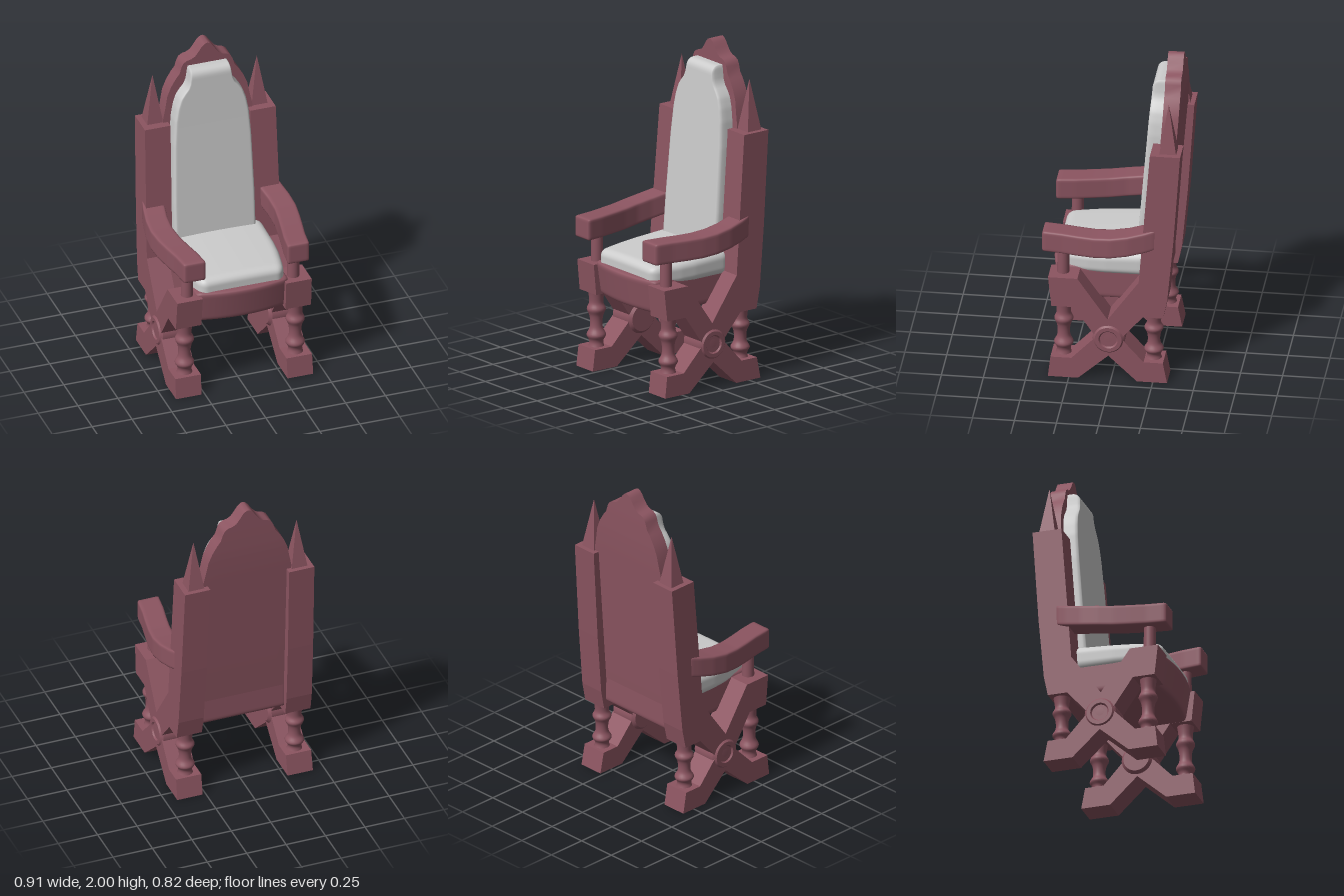
import * as THREE from 'three';
import { mergeVertices, toCreasedNormals } from 'three/addons/utils/BufferGeometryUtils.js';

const wood = new THREE.MeshStandardMaterial({ color: 0x8c5561 });
const fabric = new THREE.MeshStandardMaterial({ color: 0xcccccc });

// linear interpolation in a list of [key, value] pairs, keys rising
function lerpTable(table, k) {
  for (let i = 1; i < table.length; i++) {
    const [a, va] = table[i - 1], [b, vb] = table[i];
    if (k <= b || i === table.length - 1) {
      return va + (vb - va) * THREE.MathUtils.clamp((k - a) / (b - a), 0, 1);
    }
  }
}

// moves every vertex of a geometry by a rule
function warp(geometry, rule) {
  const p = geometry.attributes.position, v = new THREE.Vector3();
  for (let i = 0; i < p.count; i++) {
    rule(v.fromBufferAttribute(p, i));
    p.setXYZ(i, v.x, v.y, v.z);
  }
  return geometry;
}

function smooth(geometry) {
  geometry.deleteAttribute('uv');
  geometry.deleteAttribute('normal');
  const merged = mergeVertices(geometry, 1e-5);
  merged.computeVertexNormals();
  return merged;
}

const creased = (geometry) => toCreasedNormals(smooth(geometry), 0.6);

// evenly divided box with rounded edges, so that it can be bent afterwards
function pillow(w, h, d, r, nx, ny, nz) {
  const half = new THREE.Vector3(w / 2 - r, h / 2 - r, d / 2 - r);
  const low = half.clone().negate(), inner = new THREE.Vector3();
  return warp(new THREE.BoxGeometry(w, h, d, nx, ny, nz), (v) => {
    inner.copy(v).clamp(low, half);
    v.sub(inner).normalize().multiplyScalar(r).add(inner);
  });
}

export function createModel() {
  const chair = new THREE.Group();
  chair.name = 'chair';
  const add = (name, geometry, material = wood, x = 0, y = 0, z = 0) => {
    const mesh = new THREE.Mesh(geometry, material);
    mesh.name = name;
    mesh.position.set(x, y, z);
    chair.add(mesh);
    return mesh;
  };

  // side frame outline (z, y): feet, crossed braces, front block and back post
  const frame = new THREE.Shape([
    [0.375, 0], [0.195, 0], [0.015, 0.16], [-0.155, 0], [-0.335, 0], [-0.31, 0.13],
    [-0.195, 0.13], [-0.06, 0.28], [-0.19, 0.43], [-0.31, 0.43], [-0.335, 0.55],
    [-0.37, 0.93], [-0.41, 1.51], [-0.23, 1.51], [-0.165, 0.66], [0.02, 0.4], [0.2, 0.66],
    [0.375, 0.66], [0.355, 0.47], [0.22, 0.47], [0.09, 0.28], [0.235, 0.13], [0.36, 0.13],
  ].map(([z, y]) => new THREE.Vector2(z, y)));

  // turned leg profile (radius, height from 0 to 1)
  const legPoints = new THREE.SplineCurve([
    [0.05, 0], [0.042, 0.08], [0.045, 0.14], [0.058, 0.22], [0.04, 0.33], [0.037, 0.45],
    [0.043, 0.56], [0.057, 0.66], [0.043, 0.76], [0.045, 0.88], [0.052, 1],
  ].map(([r, y]) => new THREE.Vector2(r, y))).getPoints(40);
  const leg = (height) => new THREE.LatheGeometry(
    legPoints.map((p) => new THREE.Vector2(p.x, p.y * height)), 24);

  // round boss with a dished face
  const hubPoints = [
    [0, -0.093], [0.08, -0.093], [0.097, -0.075], [0.097, 0.075], [0.08, 0.093],
    [0.057, 0.093], [0.048, 0.082], [0, 0.085],
  ].map(([r, y]) => new THREE.Vector2(r, y));

  // armrest centre line: sideways bow and height, by z
  const armX = [[-0.27, 0.347], [-0.2, 0.365], [-0.1, 0.383], [0, 0.388], [0.1, 0.376],
    [0.2, 0.358], [0.3, 0.338], [0.415, 0.324]];
  const armY = [[-0.27, 0.95], [-0.2, 0.93], [-0.1, 0.908], [0, 0.892], [0.1, 0.882],
    [0.2, 0.88], [0.415, 0.88]];

  for (const s of [1, -1]) {
    const side = s > 0 ? 'left' : 'right';

    const frameGeo = new THREE.ExtrudeGeometry(frame, { depth: 0.16, bevelEnabled: false });
    frameGeo.rotateY(-Math.PI / 2);
    add(side + 'Frame', warp(frameGeo, (v) => {
      v.x += 0.08 + s * (0.35 - 0.0133 * v.y);
    }));

    const spire = new THREE.ConeGeometry(0.05 * Math.SQRT2, 0.31, 4, 1).rotateY(Math.PI / 4);
    add(side + 'Spire', toCreasedNormals(spire, 0.3), wood, s * 0.327, 1.665, -0.332);

    add(side + 'FrontLeg', leg(0.36), wood, s * 0.347, 0.12, 0.29);
    add(side + 'RearLeg', leg(0.32), wood, s * 0.347, 0.12, -0.247);

    const hub = new THREE.LatheGeometry(hubPoints, 32).rotateZ(-s * Math.PI / 2);
    add(side + 'Hub', toCreasedNormals(hub, 0.5), wood, s * 0.343, 0.27, 0.015);

    add(side + 'ArmSupport', new THREE.CylinderGeometry(0.035, 0.037, 0.2, 24), wood,
      s * 0.333, 0.74, 0.295);

    const arm = warp(pillow(0.136, 0.13, 0.685, 0.01, 12, 12, 40), (v) => {
      const z = v.z + 0.0725;
      v.set(v.x + s * lerpTable(armX, z), v.y + lerpTable(armY, z), z);
    });
    add(side + 'Armrest', smooth(arm));
  }

  // seat base with bowed front that tucks in towards the bottom
  add('seatBase', smooth(warp(pillow(0.58, 0.21, 0.64, 0.025, 30, 16, 30), (v) => {
    const front = Math.max(0, (v.z + 0.32) / 0.64);
    v.z += 0.025 + front * (0.04 * (1 - (v.x / 0.29) ** 2) - 0.035 * (0.5 - v.y / 0.21));
    v.y += 0.575;
  })));

  // seat cushion: narrower in front, higher at the back
  const seatWidth = [[-0.2, 1], [0.05, 1], [0.15, 0.975], [0.25, 0.92], [0.345, 0.85]];
  add('seatCushion', smooth(warp(pillow(0.61, 0.15, 0.55, 0.05, 40, 18, 40), (v) => {
    v.z += 0.07;
    v.x *= lerpTable(seatWidth, v.z);
    const up = (v.y + 0.075) / 0.15;
    v.y = 0.63 + up * (0.152 - 0.06 * v.z) - up * 0.008 * (v.x / 0.3) ** 2;
  })), fabric);

  // backrest board: half width by height, leaning back with an upright crest
  const boardWidth = [[0.58, 0.23], [0.6, 0.255], [0.65, 0.28], [1.53, 0.28], [1.6, 0.265],
    [1.68, 0.25], [1.74, 0.225], [1.79, 0.195], [1.82, 0.172], [1.86, 0.16], [1.885, 0.148],
    [1.9, 0.125], [1.905, 0.1], [1.92, 0.075], [1.95, 0.052], [1.98, 0.032], [1.993, 0.018],
    [2, 0.003]];
  const boardZ = [[0.58, -0.243], [1.5, -0.322], [1.7, -0.334], [1.85, -0.336], [2, -0.336]];
  const boardGeo = new THREE.BoxGeometry(2, boardWidth.length - 1, 0.095, 8, boardWidth.length - 1, 1);
  add('backBoard', creased(warp(boardGeo, (v) => {
    const [y, w] = boardWidth[Math.round(v.y + (boardWidth.length - 1) / 2)];
    v.set(v.x * w, y, v.z + lerpTable(boardZ, y));
  })));

  // back cushion: follows the board, with stepped shoulders at the top
  const cushionWidth = [[0.72, 0.255], [1.0, 0.255], [1.39, 0.245], [1.55, 0.233],
    [1.63, 0.218], [1.69, 0.197], [1.725, 0.172], [1.75, 0.15], [1.78, 0.137], [1.82, 0.13],
    [1.87, 0.125]];
  add('backCushion', smooth(warp(pillow(2, 1.15, 0.14, 0.045, 60, 80, 14), (v) => {
    const y = v.y + 1.292;
    v.set(v.x * lerpTable(cushionWidth, y), y,
      v.z + lerpTable([[0.72, -0.195], [1.5, -0.257], [1.87, -0.283]], y));
  })), fabric);

  return chair;
}
